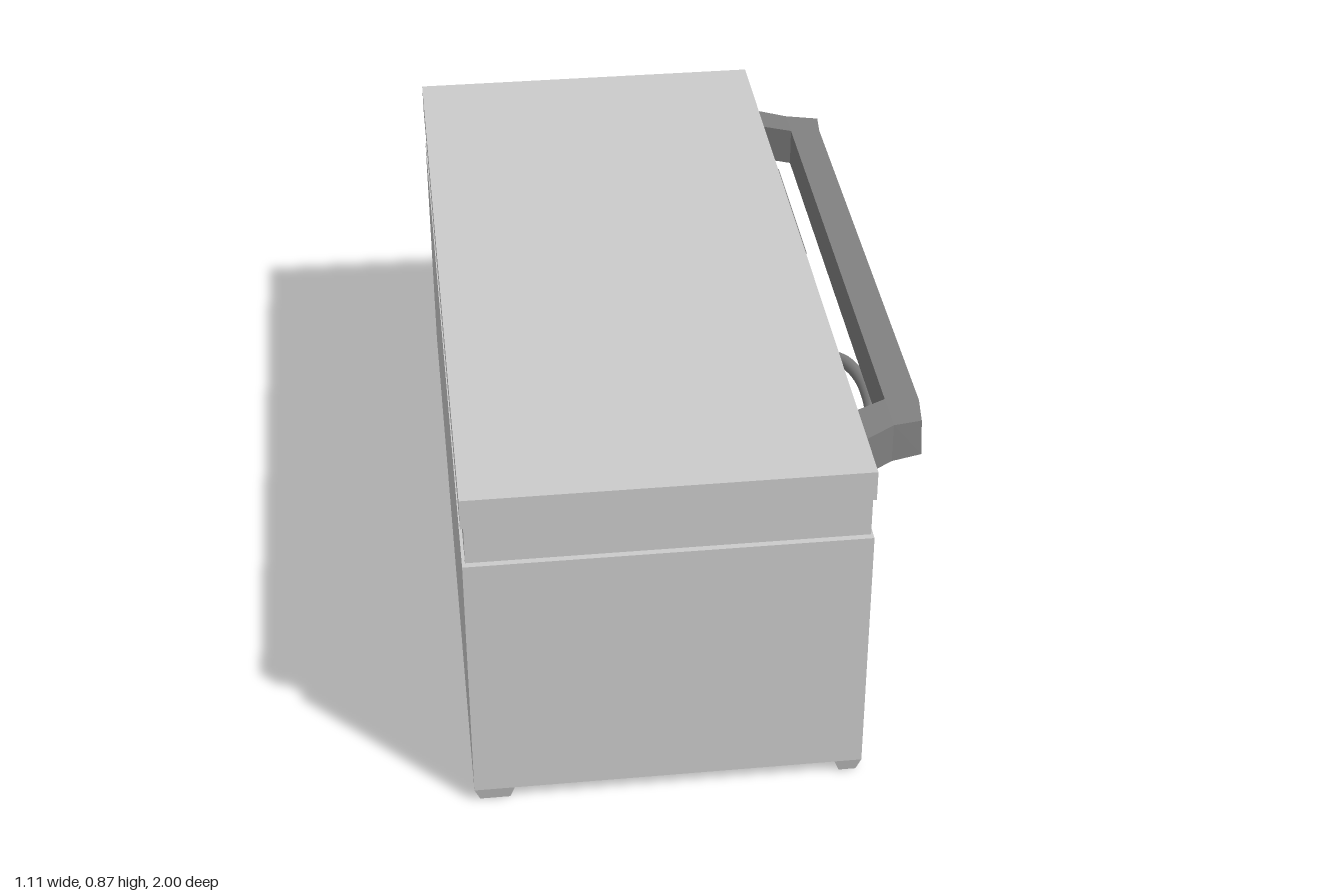
import * as THREE from 'three';

const light = new THREE.MeshStandardMaterial({ color: 0xcccccc });
const dark = new THREE.MeshStandardMaterial({ color: 0x808080 });

function add(parent, name, geometry, material) {
  const mesh = new THREE.Mesh(geometry, material);
  mesh.name = name;
  parent.add(mesh);
  return mesh;
}

// Box given by its limits on each axis
function box(x0, x1, y0, y1, z0, z1) {
  return new THREE.BoxGeometry(x1 - x0, y1 - y0, z1 - z0)
    .translate((x0 + x1) / 2, (y0 + y1) / 2, (z0 + z1) / 2);
}

const rect = (x0, x1, z0, z1) => [[x0, z0], [x1, z0], [x1, z1], [x0, z1]];
const toVectors = (points) => points.map(([x, z]) => new THREE.Vector2(x, -z));

// Horizontal slab from a plan outline in (x, z), with optional holes
function slab(outline, y0, y1, holes = []) {
  const shape = new THREE.Shape(toVectors(outline));
  holes.forEach((h) => shape.holes.push(new THREE.Path(toVectors(h))));
  return new THREE.ExtrudeGeometry(shape, { depth: y1 - y0, bevelEnabled: false })
    .rotateX(-Math.PI / 2).translate(0, y0, 0);
}

// Vertical profile in (x, y) swept along z
function sweepZ(profile, z0, z1) {
  const shape = new THREE.Shape(profile.map(([x, y]) => new THREE.Vector2(x, y)));
  return new THREE.ExtrudeGeometry(shape, { depth: z1 - z0, bevelEnabled: false })
    .translate(0, 0, z0);
}

export function createModel() {
  const model = new THREE.Group();
  model.name = 'storageChest';

  // Main cabinet, recessed neck and lid
  const deep = rect(-0.39, -0.125, -0.75, -0.285);
  const shallow = rect(-0.125, 0.295, 0.34, 0.65);
  add(model, 'cabinet', box(-0.555, 0.365, 0.035, 0.692, -1, 1), light);
  add(model, 'neck', slab(rect(-0.548, 0.36, -0.985, 0.985), 0.692, 0.797, [deep]), light);
  add(model, 'lid', slab(rect(-0.555, 0.365, -1, 1), 0.797, 0.872, [deep, shallow]), light);
  add(model, 'deepRecessFloor', slab(deep, 0.692, 0.768), light);
  add(model, 'shallowRecessFloor', slab(shallow, 0.797, 0.866), light);

  // Tapered feet at the corners
  for (const [x0, x1] of [[-0.555, -0.46], [0.3, 0.365]]) {
    for (const z of [-0.967, 0.967]) {
      const foot = box(x0, x1, 0, 0.035, z - 0.033, z + 0.033);
      const p = foot.attributes.position;
      for (let i = 0; i < p.count; i++) {
        if (p.getY(i) > 0.01) continue;
        p.setX(i, p.getX(i) + (p.getX(i) < (x0 + x1) / 2 ? 0.013 : -0.011));
        p.setZ(i, p.getZ(i) + (p.getZ(i) < z ? 0.009 : -0.009));
      }
      foot.computeVertexNormals();
      add(model, 'foot', foot, light);
    }
  }

  // Wraparound push rail on the left side
  const rail = [
    [0.355, -0.905], [0.46, -0.845], [0.548, -0.832], [0.541, -0.76],
    [0.541, 0.61], [0.53, 0.695], [0.46, 0.715], [0.355, 0.785],
    [0.355, 0.66], [0.46, 0.605], [0.46, -0.755], [0.355, -0.805],
  ];
  const railGeometry = slab(rail, 0.695, 0.796);
  const rp = railGeometry.attributes.position;
  for (let i = 0; i < rp.count; i++) {
    // outer edge leans: lower at the top, wider at the bottom
    if (rp.getX(i) < 0.5) continue;
    if (rp.getY(i) > 0.75) rp.setY(i, 0.79);
    else rp.setX(i, rp.getX(i) + 0.005);
  }
  railGeometry.computeVertexNormals();
  add(model, 'pushRail', railGeometry, dark);

  // Front door with a bevelled face
  const door = new THREE.Group();
  door.name = 'frontDoor';
  model.add(door);
  add(door, 'doorPanel', box(0.36, 0.412, 0.065, 0.66, 0.06, 0.63), dark);
  const face = box(0.412, 0.424, 0.065, 0.66, 0.06, 0.63);
  const fp = face.attributes.position;
  for (let i = 0; i < fp.count; i++) {
    if (fp.getX(i) < 0.42) continue;
    fp.setZ(i, fp.getZ(i) < 0.3 ? 0.085 : 0.61);
    fp.setY(i, fp.getY(i) < 0.3 ? 0.1 : 0.655);
  }
  face.computeVertexNormals();
  add(door, 'doorFace', face, dark);

  // Bowed door handle
  const bow = new THREE.CatmullRomCurve3([
    [0.415, 0.635, 0.55], [0.445, 0.641, 0.51], [0.468, 0.647, 0.43], [0.473, 0.648, 0.355],
    [0.468, 0.647, 0.28], [0.445, 0.641, 0.2], [0.415, 0.635, 0.16],
  ].map((p) => new THREE.Vector3(...p)));
  add(door, 'doorHandle', new THREE.TubeGeometry(bow, 24, 0.017, 10), dark);

  // Deep drawer running through the cabinet, with a grip lip
  const drawer = new THREE.Group();
  drawer.name = 'rearDrawer';
  model.add(drawer);
  add(drawer, 'drawerBody', box(-0.553, 0.41, 0.033, 0.691, -0.79, -0.235), dark);
  add(drawer, 'gripLip', sweepZ([
    [0.405, 0.612], [0.418, 0.612], [0.428, 0.625], [0.428, 0.68],
    [0.42, 0.68], [0.418, 0.63], [0.405, 0.625],
  ], -0.75, -0.28), dark);

  return model;
}
